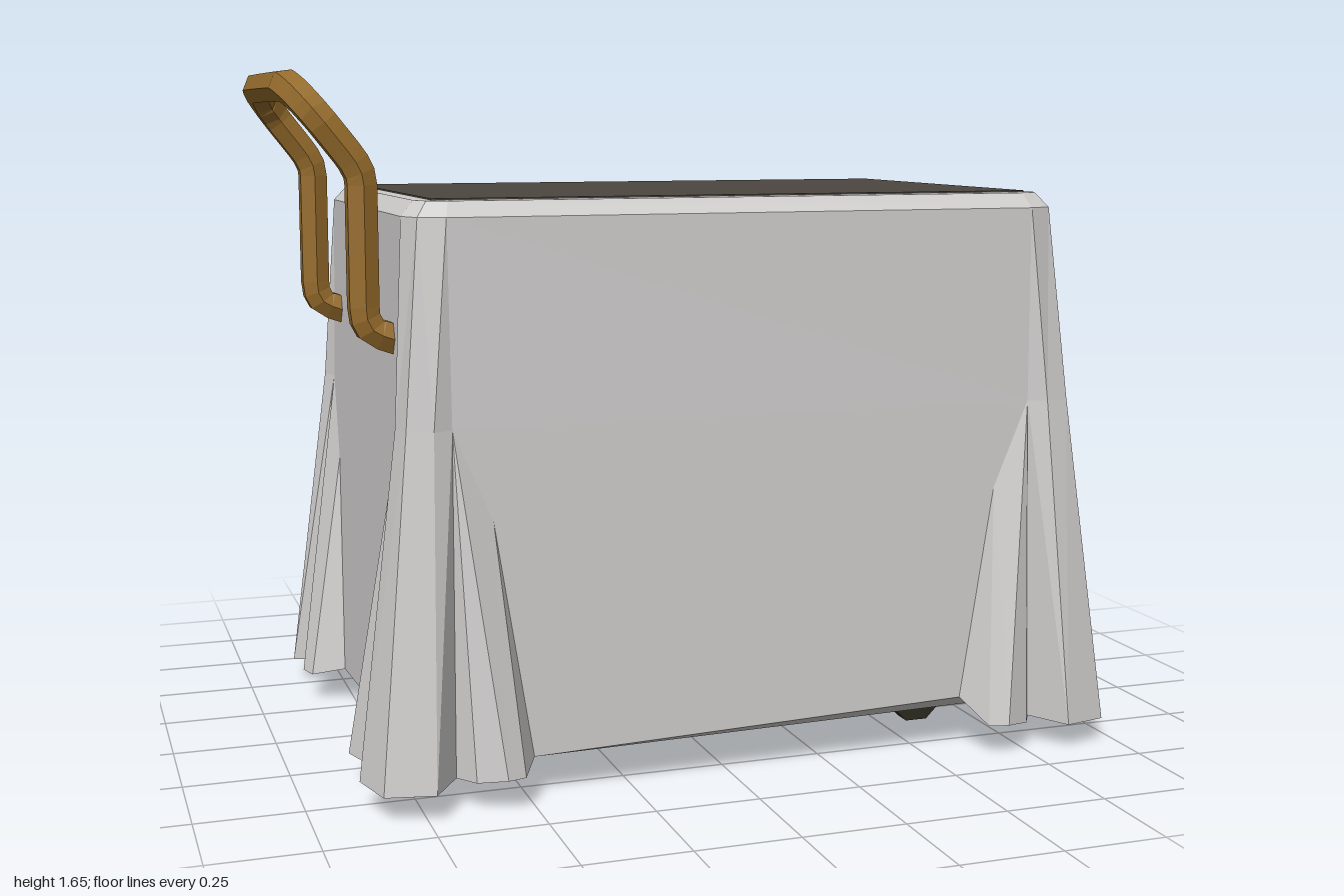
import * as THREE from 'three';

const mat = (name, color, extra = {}) => {
  const m = new THREE.MeshStandardMaterial({ color, flatShading: true, ...extra });
  m.name = name;
  return m;
};
const CX = 0.0575; // centre of the covered body

// A point beside a corner: d = distance along the wall from the corner,
// o = distance out from the wall, which leans outwards towards the floor
function cornerPoint(sx, sz, axis, d, o, y) {
  const s = 0.03 * (1.33 - y) / 1.24;
  const hx = 0.8075 + s, hz = 0.54 + s;
  const u = axis === 'z' ? hx - d : hx + o;
  const v = axis === 'z' ? hz + o : hz - d;
  return [CX + sx * u, y, sz * v];
}

// Draped cloth: four walls, with folds on both sides of every corner
function clothGeometry() {
  const pos = [];
  const tri = (a, b, c, flip) => pos.push(...a, ...(flip ? c : b), ...(flip ? b : c));
  const top = [CX, 1.365, 0];

  const half = (sx, sz, axis) => {
    const left = (axis === 'z') === (sx !== sz);
    const p = (d, o, y) => cornerPoint(sx, sz, axis, d, o, y);
    const rim1 = p(0.05, -0.05, 1.365), rim = p(0.095, -0.03, 1.365);
    const edge1 = p(0.025, -0.025, 1.33), edge = p(0.085, 0, 1.33);
    const knee1 = p(-0.005, 0.005, 0.86), knee = p(0.055, 0.018, 0.86);
    const apex1 = p(0.1, 0, 0.86), apex2 = p(0.195, 0, 0.65);
    const foot = [
      p(-0.066, 0.066, 0.06), p(0.047, 0.1, 0.064), p(0.11, 0.01, 0.068),
      p(0.145, 0.065, 0.07), p(0.21, 0.097, 0.078), p(0.255, 0.08, 0.076),
      p(0.295, 0, left ? 0.095 : 0.13),
    ];
    const inner = [CX + sx * 0.76, 0.088, sz * 0.49];
    const lining = [CX + sx * 0.7, 0.21, sz * 0.43];
    const [f0, f1, f2, f3, f4, f5, f6] = foot;
    [
      [top, rim, rim1], [rim1, rim, edge], [rim1, edge, edge1],
      [edge1, edge, knee], [edge1, knee, knee1], [edge, apex1, knee],
      [knee1, knee, f1], [knee1, f1, f0], [knee, apex1, f1],
      [apex1, f2, f1], [apex1, f3, f2], [apex1, f4, f3],
      [apex1, apex2, f4], [apex2, f5, f4], [apex2, f6, f5],
    ].forEach(t => tri(...t, left));
    // underside of the folds
    for (let i = 0; i < 6; i++) tri(inner, foot[i], foot[i + 1], left);
    return [rim, edge, apex1, apex2, f6, inner, lining];
  };

  // each side spans its two corners, down to the hem and up inside to the base
  for (const axis of ['z', 'x']) for (const s of [1, -1]) {
    const L = axis === 'z' ? half(-s, s, axis) : half(s, s, axis);
    const R = axis === 'z' ? half(s, s, axis) : half(s, -s, axis);
    tri(top, L[0], R[0]);
    for (let i = 0; i < L.length - 1; i++) {
      tri(L[i], L[i + 1], R[i + 1]);
      tri(L[i], R[i + 1], R[i]);
    }
  }
  const g = new THREE.BufferGeometry();
  g.setAttribute('position', new THREE.Float32BufferAttribute(pos, 3));
  g.computeVertexNormals();
  return g;
}

export function createModel() {
  const model = new THREE.Group();
  model.name = 'coveredTrolley';
  const cloth = mat('grey cloth', 0xcecccb, { side: THREE.DoubleSide });
  const dark = mat('dark panel', 0x4b4740);
  const brass = mat('brown metal', 0x966c2c);
  const rubber = mat('black rubber', 0x2a2a20);

  const add = (name, geo, material, x = 0, y = 0, z = 0) => {
    const m = new THREE.Mesh(geo, material);
    m.name = name;
    m.position.set(x, y, z);
    model.add(m);
  };

  add('clothCover', clothGeometry(), cloth);
  add('topPanel', new THREE.BoxGeometry(1.48, 0.006, 0.93), dark, CX, 1.366, 0);
  add('basePanel', new THREE.BoxGeometry(1.404, 0.008, 0.864), dark, CX, 0.21, 0);

  // bent push handle, mirrored across z
  const side = [
    [-0.73, 1.04, 0.36], [-0.8, 1.065, 0.36], [-0.82, 1.105, 0.36], [-0.82, 1.41, 0.36],
    [-0.84, 1.455, 0.36], [-0.91, 1.545, 0.355], [-0.945, 1.59, 0.325], [-0.966, 1.618, 0.25],
  ];
  const path = [...side, ...side.slice().reverse().map(([x, y, z]) => [x, y, -z])]
    .map(p => new THREE.Vector3(...p));
  const curve = new THREE.CatmullRomCurve3(path, false, 'catmullrom', 0.1);
  add('handle', new THREE.TubeGeometry(curve, 72, 0.039, 6), brass);

  // casters: eight-sided wheels under a leg, held by a plate on the outside
  const wheel = new THREE.CylinderGeometry(0.0745, 0.0745, 0.044, 8);
  wheel.rotateY(Math.PI / 8).rotateX(Math.PI / 2);
  const leg = new THREE.BoxGeometry(0.065, 0.12, 0.06);
  const plate = new THREE.BoxGeometry(0.065, 0.06, 0.006);
  for (const x of [-0.55, 0.6]) for (const s of [1, -1]) {
    add('wheel', wheel, rubber, x, 0.069, s * 0.311);
    add('casterLeg', leg, brass, x, 0.15, s * 0.325);
    add('casterPlate', plate, brass, x, 0.08, s * 0.352);
  }
  return model;
}
